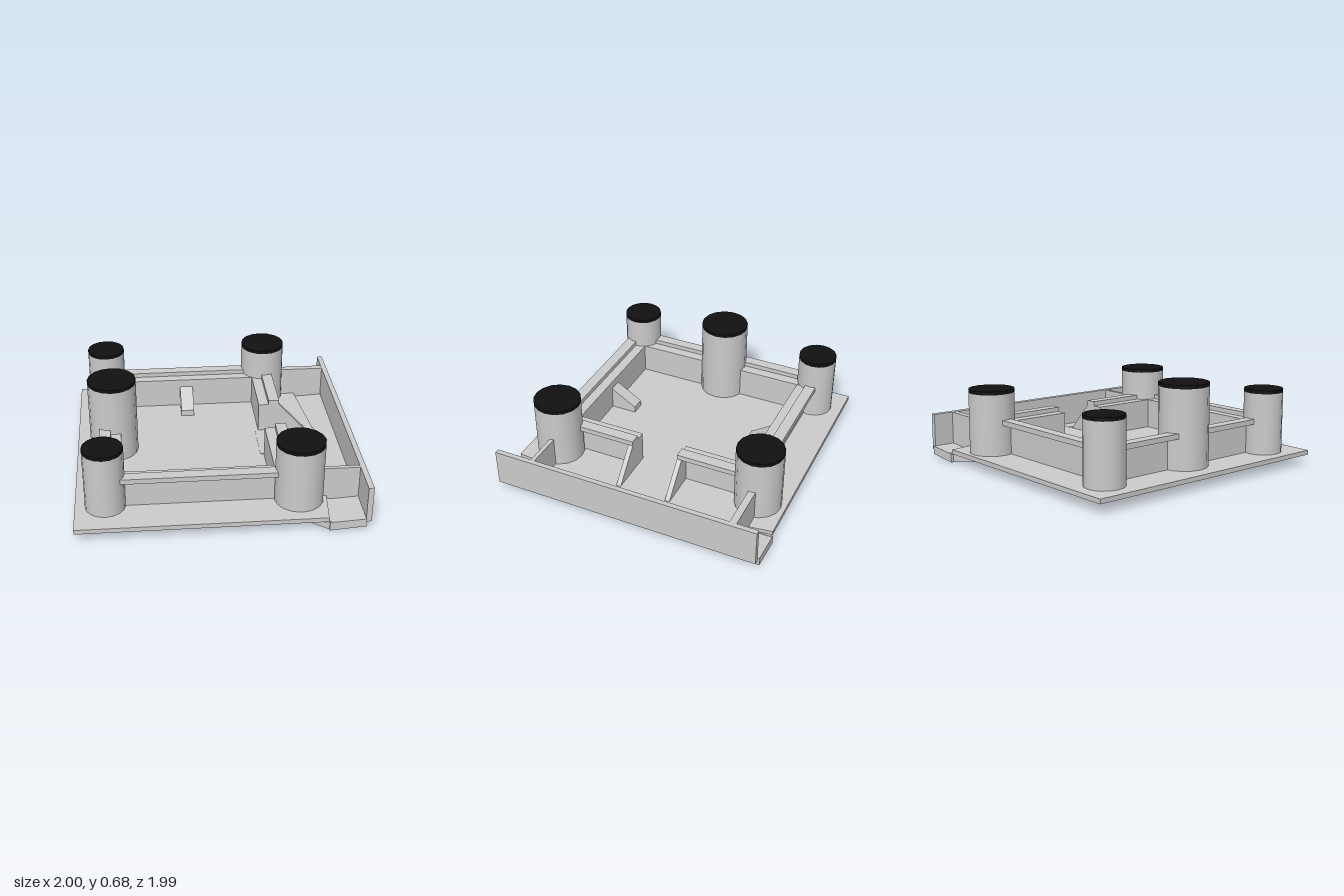
import * as THREE from 'three';

export function createModel() {
  const model = new THREE.Group();
  const grey = new THREE.MeshStandardMaterial({ color: 0xcccccc });
  const black = new THREE.MeshStandardMaterial({ color: 0x111111 });

  function add(name, geometry, material = grey) {
    const mesh = new THREE.Mesh(geometry, material);
    mesh.name = name;
    model.add(mesh);
    return mesh;
  }

  // box given by its limits on each axis
  function box(name, x0, x1, y0, y1, z0, z1) {
    add(name, new THREE.BoxGeometry(x1 - x0, y1 - y0, z1 - z0))
      .position.set((x0 + x1) / 2, (y0 + y1) / 2, (z0 + z1) / 2);
  }

  const shapeOf = (points) => new THREE.Shape(points.map(([a, b]) => new THREE.Vector2(a, b)));
  const extrude = (points, depth) =>
    new THREE.ExtrudeGeometry(shapeOf(points), { depth, bevelEnabled: false });

  // horizontal slab from an (x, z) outline
  function slab(name, outline, y0, y1) {
    const g = extrude(outline.map(([x, z]) => [x, -z]), y1 - y0);
    g.rotateX(-Math.PI / 2).translate(0, y0, 0);
    add(name, g);
  }

  // (x, y) profile swept along z
  function profileX(name, points, z0, z1) {
    add(name, extrude(points, z1 - z0).translate(0, 0, z0));
  }

  // base plate with a shallow pointed right edge
  slab('basePlate', [[-1, -0.99], [0.71, -0.99], [0.74, -0.775], [0.8, -0.2],
    [0.8, 0.145], [0.74, 0.7], [0.71, 0.985], [-1, 0.985]], 0.07, 0.103);
  box('channelFloor', 0.35, 0.805, 0.08, 0.106, -0.2, 0.145);

  // thickened underside and sloping lip
  slab('underSlab', [[0.73, -0.995], [0.73, 0.995], [0.48, 0.8], [0.48, -0.7]], 0.006, 0.075);
  profileX('lip', [[0.715, 0.005], [0.965, 0.025], [0.965, 0.085], [0.715, 0.07]], -0.995, 0.995);

  // upright side wall and its two webs
  profileX('sideWall', [[0.962, 0.055], [1, 0.06], [1, 0.327], [0.962, 0.325]], -0.98, 0.985);
  box('backWeb', 0.5, 0.97, 0.075, 0.323, -0.825, -0.775);
  box('frontWeb', 0.6, 0.97, 0.075, 0.323, 0.69, 0.72);

  // rails: a wall with a raised strip along its outer top edge
  box('backRailWall', -0.67, 0.375, 0.09, 0.327, -0.735, -0.655);
  box('backRailCap', -0.69, 0.385, 0.323, 0.36, -0.81, -0.73);
  box('frontRailWall', -0.67, 0.375, 0.09, 0.327, 0.648, 0.725);
  box('frontRailCap', -0.69, 0.385, 0.323, 0.36, 0.72, 0.8);
  box('leftRailWall', -0.75, -0.67, 0.09, 0.327, -0.66, 0.655);
  box('leftRailCap', -0.825, -0.745, 0.323, 0.36, -0.65, 0.6);
  for (const [z0, z1] of [[-0.68, -0.2], [0.145, 0.66]]) {
    box('rightRailWall', 0.375, 0.455, 0.09, 0.327, z0, z1);
    box('rightRailCap', 0.45, 0.53, 0.323, 0.36, z0, z1);
  }

  // triangular braces beside the channel
  for (const z of [-0.235, 0.145]) {
    profileX('channelBrace', [[0.44, 0.09], [0.73, 0.09], [0.73, 0.105], [0.53, 0.325], [0.44, 0.325]], z, z + 0.035);
  }

  // wedges inside the long rails, facing inwards
  for (const [zWall, direction, length] of [[-0.66, 1, 0.185], [0.65, -1, 0.195]]) {
    const g = extrude([[0, 0.09], [length, 0.09], [length, 0.15], [0, 0.27]], 0.1);
    g.translate(0, 0, -0.05).rotateY(-direction * Math.PI / 2).translate(-0.15, 0, zWall);
    add('railWedge', g);
  }

  // posts with black caps: x, z, radius, bottom, top
  const posts = [
    [-0.775, -0.77, 0.14, 0.055, 0.57],
    [0.47, -0.79, 0.167, 0.055, 0.57],
    [-0.725, -0.025, 0.175, 0.08, 0.687],
    [-0.79, 0.715, 0.14, 0.055, 0.57],
    [0.54, 0.735, 0.17, 0.055, 0.57],
  ];
  const capHeight = 0.025;
  for (const [x, z, r, y0, y1] of posts) {
    const h = y1 - capHeight - y0;
    add('post', new THREE.CylinderGeometry(r, r, h, 16)).position.set(x, y0 + h / 2, z);
    add('postCap', new THREE.CylinderGeometry(r, r, capHeight, 16), black)
      .position.set(x, y1 - capHeight / 2, z);
  }

  return model;
}
